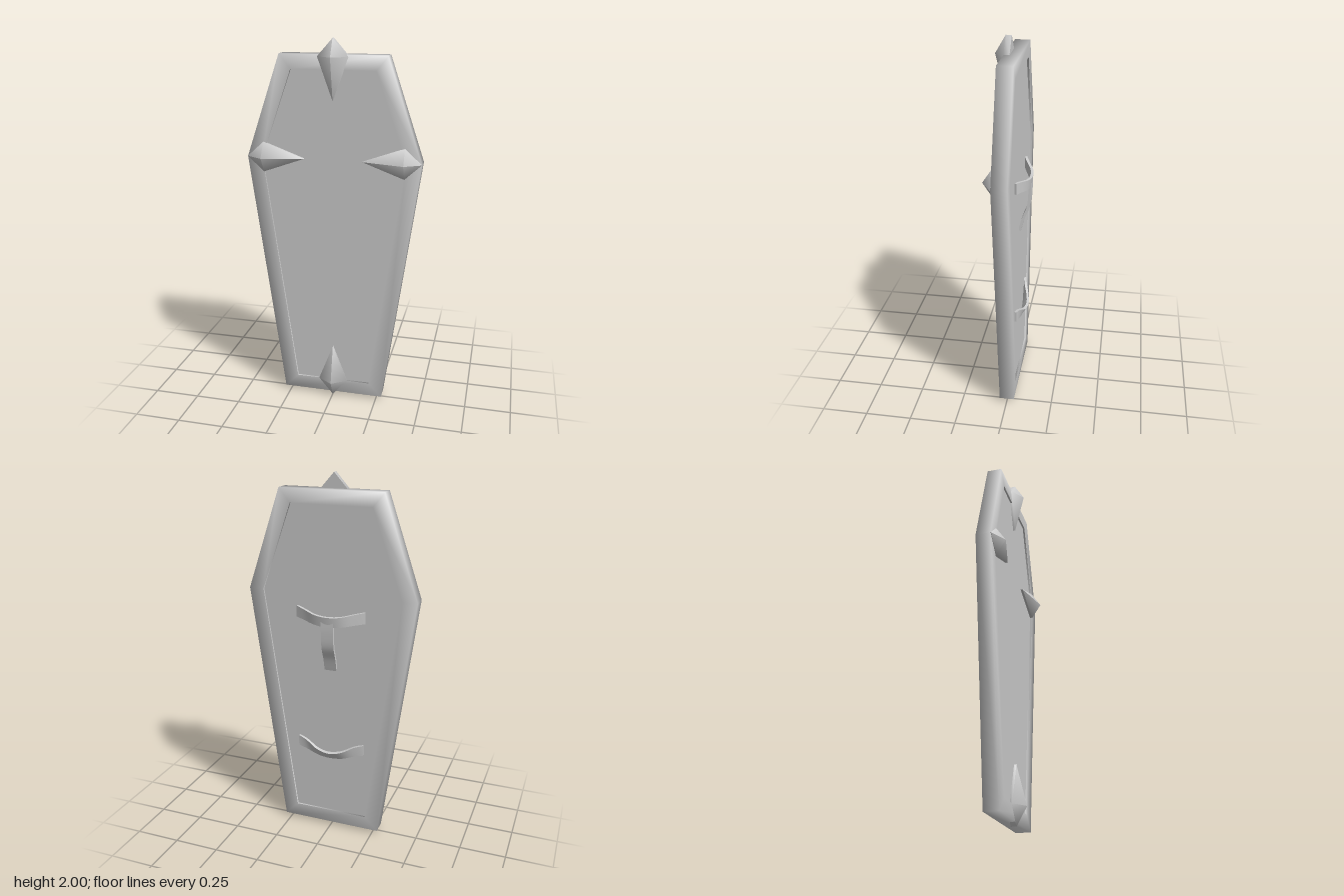
import * as THREE from 'three';
import { toCreasedNormals } from 'three/addons/utils/BufferGeometryUtils.js';

const material = new THREE.MeshStandardMaterial({ color: 0xcccccc, side: THREE.DoubleSide });

// Skin between closed loops of points; caps are fans around a centre point
function loft(rows, startCentre, endCentre) {
  const n = rows[0].length, index = [];
  const points = rows.flat();
  for (let i = 0; i < rows.length - 1; i++) {
    for (let j = 0; j < n; j++) {
      const a = i * n + j, b = i * n + (j + 1) % n;
      index.push(a, b, b + n, a, b + n, a + n);
    }
  }
  const last = (rows.length - 1) * n;
  if (startCentre) {
    const c = points.push(startCentre) - 1;
    for (let j = 0; j < n; j++) index.push(c, (j + 1) % n, j);
  }
  if (endCentre) {
    const c = points.push(endCentre) - 1;
    for (let j = 0; j < n; j++) index.push(c, last + j, last + (j + 1) % n);
  }
  const geometry = new THREE.BufferGeometry();
  geometry.setAttribute('position', new THREE.Float32BufferAttribute(points.flat(), 3));
  geometry.setIndex(index);
  geometry.computeVertexNormals();
  return geometry;
}

// Six-sided coffin outline, anticlockwise from the front
function hexagon([topX, topY], [midX, midY], [lowX, lowY], z) {
  return [[lowX, lowY, z], [midX, midY, z], [topX, topY, z],
    [-topX, topY, z], [-midX, midY, z], [-lowX, lowY, z]];
}
const outer = z => hexagon([0.28, 1.92], [0.463, 1.385], [0.28, 0.025], z);
const inner = z => hexagon([0.22, 1.845], [0.383, 1.385], [0.207, 0.1], z);

// Four-sided spike: outer tip along +y, long inner tip along -y, raised apex
function spikeGeometry(out, width, length) {
  const diamond = z => [[0, out, z], [-width, 0, z], [0, -length, z], [width, 0, z]];
  return toCreasedNormals(loft([diamond(0.012), diamond(0.042)], [0, 0, 0.012], [0, 0, 0.095]), 1.3);
}

// Curved band running between two edge curves
function strapGeometry(edgeA, edgeB, thickness = 0.014, steps = 24) {
  const curve = edge => new THREE.CatmullRomCurve3(edge.map(p => new THREE.Vector3(...p)));
  const a = curve(edgeA), b = curve(edgeB), rows = [];
  for (let i = 0; i <= steps; i++) {
    const t = i / steps, p = a.getPoint(t), q = b.getPoint(t);
    const offset = a.getTangent(t).add(b.getTangent(t))
      .cross(q.clone().sub(p)).setLength(thickness / 2);
    rows.push([p.clone().sub(offset), q.clone().sub(offset),
      q.clone().add(offset), p.clone().add(offset)].map(v => v.toArray()));
  }
  const middle = row => [0, 1, 2].map(k => row.reduce((s, p) => s + p[k], 0) / 4);
  return toCreasedNormals(loft(rows, middle(rows[0]), middle(rows[steps])), 0.8);
}

// Mirror a half edge from the centre to the other side
const mirrored = half => [...half, ...half.slice(0, -1).reverse().map(([x, y, z]) => [-x, y, z])];

export function createModel() {
  const group = new THREE.Group();
  const add = (name, geometry) => {
    const mesh = new THREE.Mesh(geometry, material);
    mesh.name = name;
    group.add(mesh);
    return mesh;
  };

  // Frame with softly shaded edges and the small step down to the panel
  add('rim', loft([inner(-0.04), outer(-0.04), outer(0.04), inner(0.04)]));
  add('frontRimStep', loft([inner(0.04), inner(0.03)]));
  add('backRimStep', loft([inner(-0.03), inner(-0.04)]));
  add('panel', toCreasedNormals(
    loft([inner(-0.03), inner(0.03)], [0, 1.1, -0.03], [0, 1.1, 0.03]), 0.5));

  // Spikes on the rim: top, bottom, and one at each shoulder
  const spikes = [
    ['topSpike', 0, 1.91, 0, 0.09, 0.22],
    ['bottomSpike', 0, 0.1, Math.PI, 0.095, 0.21],
    ['leftSpike', 0.375, 1.385, -Math.PI / 2, 0.088, 0.22],
    ['rightSpike', -0.375, 1.385, Math.PI / 2, 0.088, 0.22],
  ];
  for (const [name, x, y, turn, out, length] of spikes) {
    const spike = add(name, spikeGeometry(out, 0.08, length));
    spike.position.set(x, y, 0);
    spike.rotation.z = turn;
  }

  // Straps on the back: a T-shaped upper grip and a sagging lower one
  add('upperStrap', strapGeometry(
    mirrored([[-0.19, 1.31, -0.034], [-0.14, 1.3, -0.054], [-0.07, 1.285, -0.083], [0, 1.28, -0.092]]),
    mirrored([[-0.19, 1.25, -0.034], [-0.14, 1.242, -0.052], [-0.07, 1.23, -0.077], [0, 1.225, -0.084]])));
  const side = x => [[x, 1.265, -0.086], [x, 1.19, -0.086], [x, 1.11, -0.078],
    [x, 1.04, -0.052], [x, 0.97, -0.033]];
  add('verticalStrap', strapGeometry(side(-0.034), side(0.034)));
  add('lowerStrap', strapGeometry(
    mirrored([[-0.19, 0.55, -0.034], [-0.14, 0.535, -0.045], [-0.07, 0.502, -0.066], [0, 0.49, -0.075]]),
    mirrored([[-0.19, 0.49, -0.034], [-0.14, 0.478, -0.038], [-0.07, 0.456, -0.044], [0, 0.45, -0.047]])));

  return group;
}
